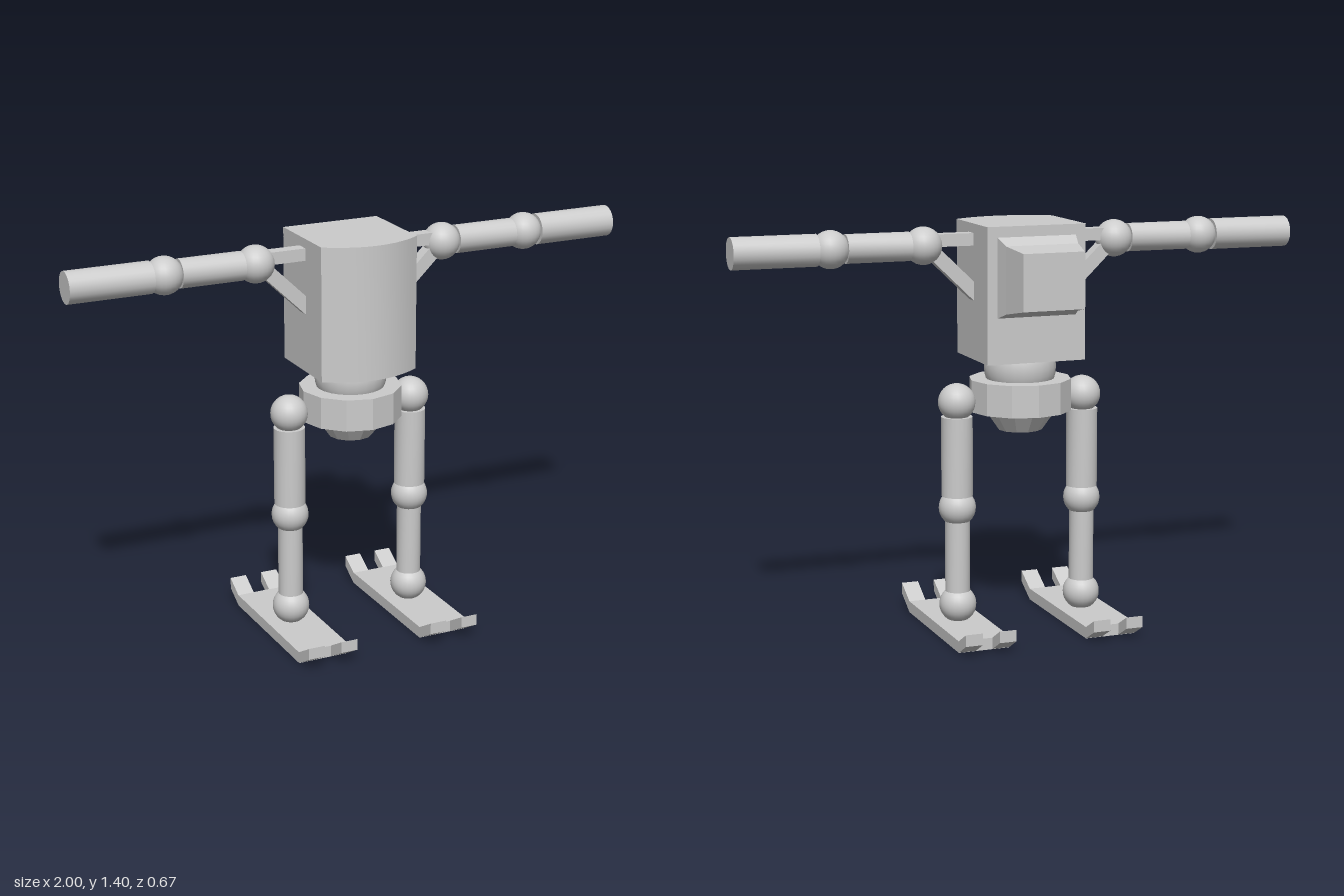
import * as THREE from 'three';
import { toCreasedNormals } from 'three/addons/utils/BufferGeometryUtils.js';

const AXIS_Z = -0.007; // depth of the limb line

export function createModel() {
  const model = new THREE.Group();
  model.name = 'walkerRobot';
  const smooth = new THREE.MeshStandardMaterial({ color: 0xcccccc });
  const flat = new THREE.MeshStandardMaterial({ color: 0xcccccc, flatShading: true });

  const add = (parent, name, geometry, x = 0, y = 0, z = 0, material = smooth) => {
    const mesh = new THREE.Mesh(geometry, material);
    mesh.name = name;
    mesh.position.set(x, y, z);
    parent.add(mesh);
    return mesh;
  };
  const group = (name) => {
    const g = new THREE.Group();
    g.name = name;
    model.add(g);
    return g;
  };
  const ball = (parent, name, x, y, r = 0.064) =>
    add(parent, name, new THREE.SphereGeometry(r, 24, 16), x, y, AXIS_Z);
  const rod = (r, length) =>
    toCreasedNormals(new THREE.CylinderGeometry(r, r, length, 20), 0.6);
  // Outline of [x, y] points, extruded and centred on z
  const slab = (points, depth) =>
    new THREE.ExtrudeGeometry(
      new THREE.Shape(points.map(([x, y]) => new THREE.Vector2(x, y))),
      { depth, bevelEnabled: false }
    ).translate(0, 0, -depth / 2);
  // Outline of [z, y] points, extruded and centred on x
  const sideSlab = (points, width) => slab(points, width).rotateY(-Math.PI / 2);

  // Torso: box plan with a bowed front
  const plan = new THREE.Shape();
  plan.moveTo(-0.175, 0.162);
  plan.lineTo(-0.175, -0.138);
  plan.quadraticCurveTo(0, -0.256, 0.175, -0.138);
  plan.lineTo(0.175, 0.162);
  plan.closePath();
  const torso = new THREE.ExtrudeGeometry(plan, { depth: 0.46, bevelEnabled: false, curveSegments: 10 });
  torso.rotateX(-Math.PI / 2);
  add(model, 'torso', toCreasedNormals(torso, 0.3), 0, 0.945, 0);

  // Backpack: three rectangular sections, flared toward the torso
  const sections = [
    { z: -0.315, hx: 0.107, low: 1.14, high: 1.33 },
    { z: -0.21, hx: 0.128, low: 1.12, high: 1.345 },
    { z: -0.16, hx: 0.14, low: 1.1, high: 1.37 },
  ];
  const pack = new THREE.BoxGeometry(2, 2, 2, 1, 1, 2);
  const pos = pack.attributes.position;
  for (let i = 0; i < pos.count; i++) {
    const s = sections[Math.round(pos.getZ(i)) + 1];
    pos.setXYZ(i, pos.getX(i) * s.hx, pos.getY(i) > 0 ? s.high : s.low, s.z);
  }
  add(model, 'backpack', pack, 0, 0, 0, flat);

  // Waist joint and faceted pelvis
  ball(model, 'waistJoint', 0, 0.91, 0.124);
  add(model, 'pelvisRing', new THREE.CylinderGeometry(0.176, 0.176, 0.11, 12), 0, 0.815, AXIS_Z, flat);
  add(model, 'pelvisCone', new THREE.CylinderGeometry(0.125, 0.076, 0.07, 12), 0, 0.727, AXIS_Z, flat);

  for (const side of [1, -1]) {
    const label = side > 0 ? 'left' : 'right';

    // Arm with shoulder strut and diagonal brace
    const arm = group(label + 'Arm');
    const armY = 1.335;
    add(arm, 'shoulderStrut', new THREE.BoxGeometry(0.19, 0.042, 0.046), side * 0.25, 1.352, AXIS_Z);
    const brace = slab([[0.165, 1.136], [0.33, 1.295], [0.33, 1.36], [0.165, 1.201]], 0.046);
    add(arm, 'shoulderBrace', brace.rotateY(side > 0 ? 0 : Math.PI), 0, 0, AXIS_Z);
    ball(arm, 'shoulder', side * 0.345, armY);
    ball(arm, 'elbow', side * 0.665, armY);
    for (const [name, r, from, to] of [['upperArm', 0.049, 0.395, 0.615], ['forearm', 0.054, 0.713, 1]]) {
      const limb = add(arm, name, rod(r, to - from), side * (from + to) / 2, armY, AXIS_Z);
      limb.rotation.z = Math.PI / 2;
    }

    // Leg
    const leg = group(label + 'Leg');
    leg.position.x = side * 0.23;
    ball(leg, 'hip', 0, 0.8);
    ball(leg, 'knee', 0, 0.434);
    ball(leg, 'ankle', 0, 0.093);
    add(leg, 'thigh', rod(0.054, 0.275), 0, 0.6125, AXIS_Z);
    add(leg, 'shin', rod(0.043, 0.25), 0, 0.265, AXIS_Z);

    // Foot plate with two upturned prongs at each end
    add(leg, 'footPlate', new THREE.BoxGeometry(0.18, 0.04, 0.525), 0, 0.02, -0.006);
    const frontProng = [[0.255, 0], [0.337, 0.047], [0.337, 0.087], [0.255, 0.04]];
    const backProng = [[-0.267, 0], [-0.267, 0.04], [-0.337, 0.08], [-0.337, 0.04]];
    for (const x of [-0.06, 0.06]) {
      add(leg, 'frontToe', sideSlab(frontProng, 0.06), x);
      add(leg, 'heelProng', sideSlab(backProng, 0.06), x);
    }
  }
  return model;
}
